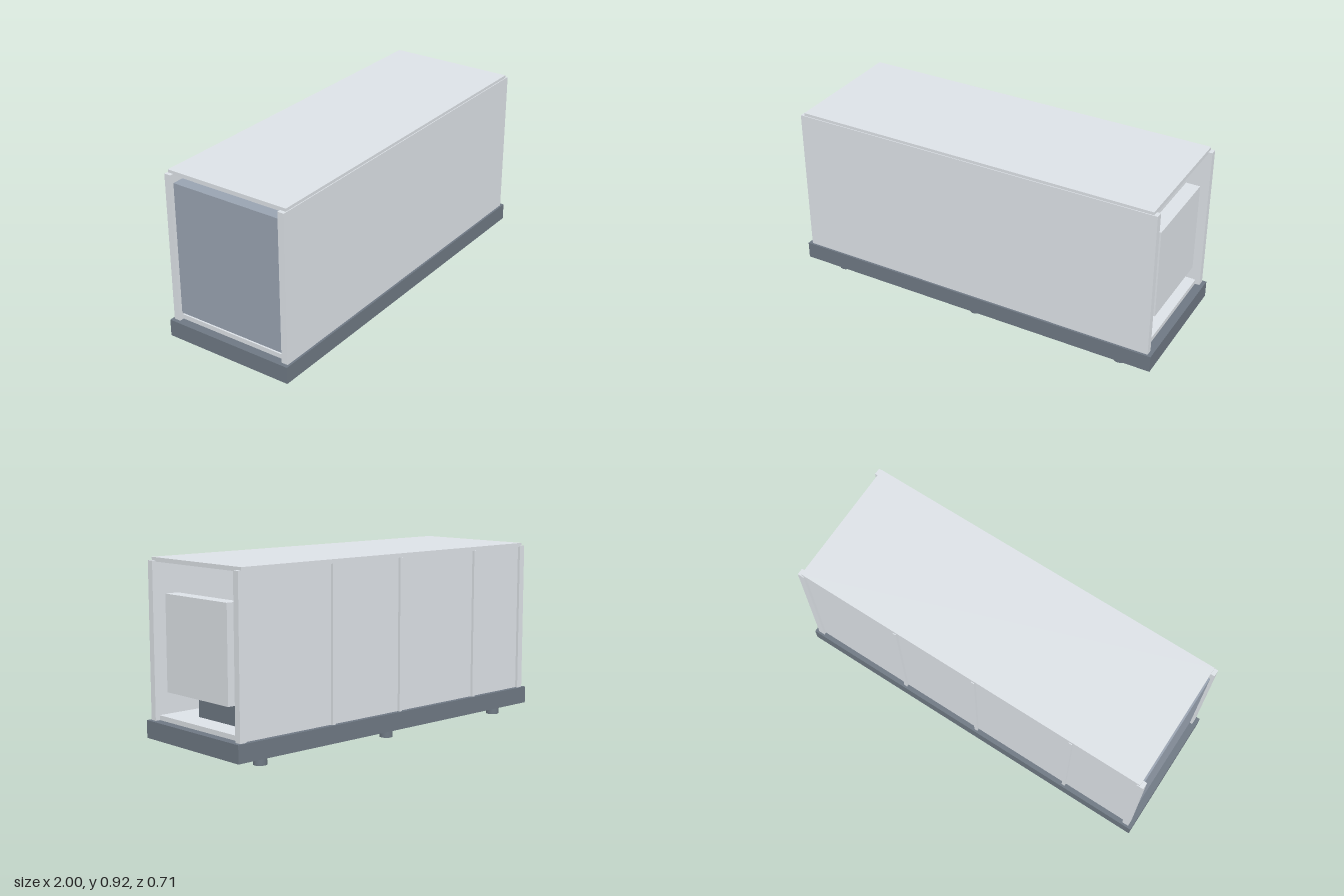
import * as THREE from 'three';

const mat = (name, color) => {
  const m = new THREE.MeshStandardMaterial({ color });
  m.name = name;
  return m;
};

export function createModel() {
  const light = mat('lightGrey', 0xdde2e7);
  const dark = mat('slateGrey', 0x6e7883);
  const mid = mat('radiatorGrey', 0x99a3b1);
  const orange = mat('orange', 0xe5a269);
  const model = new THREE.Group();
  model.name = 'generatorEnclosure';

  const add = (name, geometry, material, x, y, z) => {
    const mesh = new THREE.Mesh(geometry, material);
    mesh.name = name;
    mesh.position.set(x, y, z);
    model.add(mesh);
    return mesh;
  };
  // box given by its limits along each axis
  const box = (name, material, [x0, x1], [y0, y1], [z0, z1]) =>
    add(name, new THREE.BoxGeometry(x1 - x0, y1 - y0, z1 - z0), material,
      (x0 + x1) / 2, (y0 + y1) / 2, (z0 + z1) / 2);

  // skid base, feet and floor
  box('base', dark, [-1, 1], [0.045, 0.133], [-0.355, 0.355]);
  for (const x of [-0.815, 0, 0.815]) for (const z of [-0.28, 0.28])
    add('foot', new THREE.CylinderGeometry(0.033, 0.033, 0.05, 24), dark, x, 0.025, z);
  box('floor', light, [-0.955, 0.955], [0.133, 0.157], [-0.312, 0.312]);

  // corner posts and roof
  for (const s of [-1, 1]) for (const t of [-1, 1])
    add('cornerPost', new THREE.BoxGeometry(0.035, 0.775, 0.035), light, s * 0.9625, 0.5205, t * 0.3265);
  box('roof', light, [-0.96, 0.96], [0.902, 0.923], [-0.34, 0.34]);

  // closed front wall, doors and mullions along the back
  box('frontWall', light, [-0.945, 0.945], [0.133, 0.908], [0.318, 0.344]);
  const seams = [-0.945, -0.585, -0.04, 0.41, 0.945];
  for (let i = 0; i < 4; i++)
    box('backDoor', light, [seams[i], seams[i + 1]], [0.133, 0.903], [-0.33, -0.312]);
  for (const x of seams.slice(1, 4))
    box('mullion', light, [x - 0.009, x + 0.009], [0.133, 0.903], [-0.344, -0.312]);

  // engine with caps, on a dark mounting plate
  box('mountingPlate', dark, [-0.8, 0.4], [0.157, 0.18], [-0.311, 0.311]);
  box('engine', orange, [-0.72, 0.3], [0.18, 0.859], [-0.311, 0.311]);
  for (const x of [-0.55, 0.15]) for (const z of [-0.28, 0.28])
    add('engineCap', new THREE.CylinderGeometry(0.023, 0.023, 0.016, 20), orange, x, 0.867, z);

  // radiator at the right end
  box('radiator', mid, [-0.967, -0.85], [0.175, 0.866], [-0.304, 0.304]);

  // alternator, its pedestal and the control cabinet at the left end
  add('alternator', new THREE.CylinderGeometry(0.25, 0.25, 0.3, 40), dark, 0.45, 0.52, 0)
    .rotation.z = Math.PI / 2;
  box('alternatorPedestal', dark, [0.35, 0.84], [0.157, 0.3], [-0.148, 0.148]);
  box('controlCabinet', light, [0.887, 0.96], [0.282, 0.756], [-0.235, 0.235]);

  return model;
}
